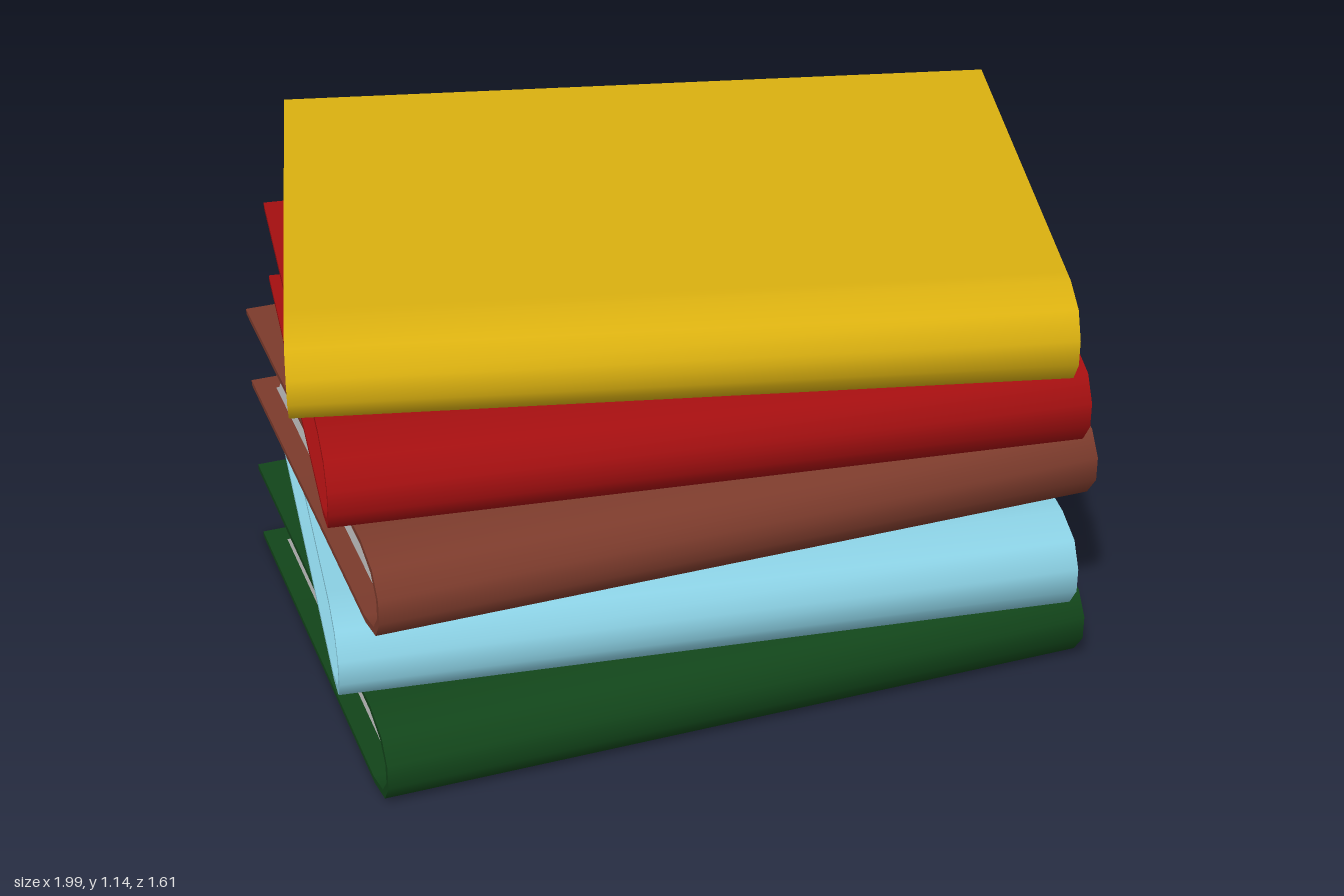
import * as THREE from 'three';
import { toCreasedNormals } from 'three/addons/utils/BufferGeometryUtils.js';

const HALF_H = 0.111; // half the thickness of a book
const STEP = 0.2295;  // height from one book to the next

// Half profiles (z, y) from the fore edge to the spine tip
const COVER_OUT = [[-0.61, HALF_H], [0.44, HALF_H], [0.48, HALF_H], [0.572, 0.088], [0.612, 0.031]];
const COVER_IN = [[-0.61, 0.096], [0.475, 0.096], [0.557, 0.073], [0.595, 0.026]];
const PAGES = [[-0.492, 0.03], [-0.499, 0.052], [-0.518, 0.074], [-0.555, 0.0965],
  [0.475, 0.0965], [0.545, 0.075], [0.58, 0.028]];

const mirrored = (pts) => [...pts, ...pts.map(([z, y]) => [z, -y]).reverse()];

// Extrude a (z, y) outline along x, centred, with soft normals round the spine
function extrudeAlongX(outline, width) {
  const shape = new THREE.Shape(outline.map(([z, y]) => new THREE.Vector2(z, y)));
  const geo = new THREE.ExtrudeGeometry(shape, { depth: width, bevelEnabled: false });
  geo.translate(0, 0, -width / 2).rotateY(-Math.PI / 2);
  return toCreasedNormals(geo, 1.05);
}

export function createModel() {
  const model = new THREE.Group();
  model.name = 'bookStack';

  // Cover is a C-shaped band; the page block is inset, with a hollow fore edge
  const coverGeo = extrudeAlongX([...mirrored(COVER_OUT), ...mirrored(COVER_IN).reverse()], 1.75);
  const pagesGeo = extrudeAlongX(mirrored(PAGES), 1.65);
  const paper = new THREE.MeshStandardMaterial({ color: 0xcccccc });

  // From bottom to top: name, cover colour, turn in degrees
  const books = [
    ['greenBook', 0x12451a, 0],
    ['blueBook', 0x8acfe2, 7.4],
    ['brownBook', 0x7c3b2c, 0],
    ['redBook', 0xa30f10, 7.4],
    ['yellowBook', 0xdab010, 14],
  ];
  books.forEach(([name, color, turn], i) => {
    const book = new THREE.Group();
    book.name = name;
    const cover = new THREE.Mesh(coverGeo, new THREE.MeshStandardMaterial({ color }));
    cover.name = 'cover';
    const pages = new THREE.Mesh(pagesGeo, paper);
    pages.name = 'pages';
    book.add(cover, pages);
    book.position.y = HALF_H + i * STEP;
    book.rotation.y = -THREE.MathUtils.degToRad(turn);
    model.add(book);
  });
  return model;
}
